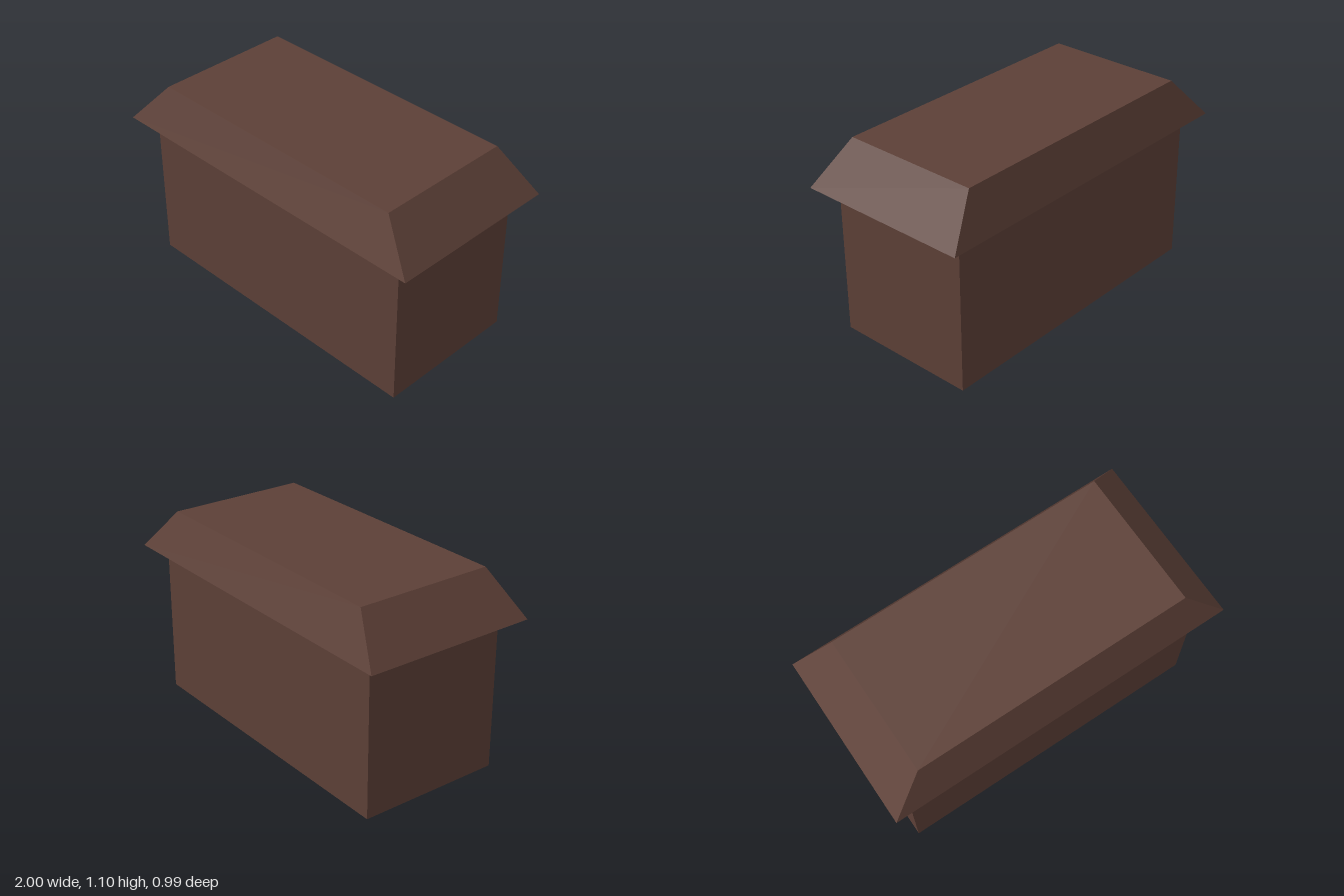
import * as THREE from 'three';

// Box standing on y, whose top face is scaled to topWidth x topDepth
function taperedBox(width, height, depth, topWidth, topDepth) {
  const geometry = new THREE.BoxGeometry(width, height, depth);
  geometry.translate(0, height / 2, 0);
  const p = geometry.attributes.position;
  for (let i = 0; i < p.count; i++) {
    if (p.getY(i) > height / 2) {
      p.setX(i, Math.sign(p.getX(i)) * topWidth / 2);
      p.setZ(i, Math.sign(p.getZ(i)) * topDepth / 2);
    }
  }
  geometry.computeVertexNormals();
  return geometry;
}

export function createModel() {
  const group = new THREE.Group();
  group.name = 'building';
  const brown = new THREE.MeshStandardMaterial({ color: 0x5d4037, flatShading: true });

  // Plain rectangular body
  const body = new THREE.Mesh(taperedBox(1.77, 0.82, 0.82, 1.77, 0.82), brown);
  body.name = 'body';

  // Overhanging flat-topped roof, floating just above the body
  const roof = new THREE.Mesh(taperedBox(2, 0.237, 0.99, 1.585, 0.787), brown);
  roof.name = 'roof';
  roof.position.y = 0.86;

  group.add(body, roof);
  return group;
}
